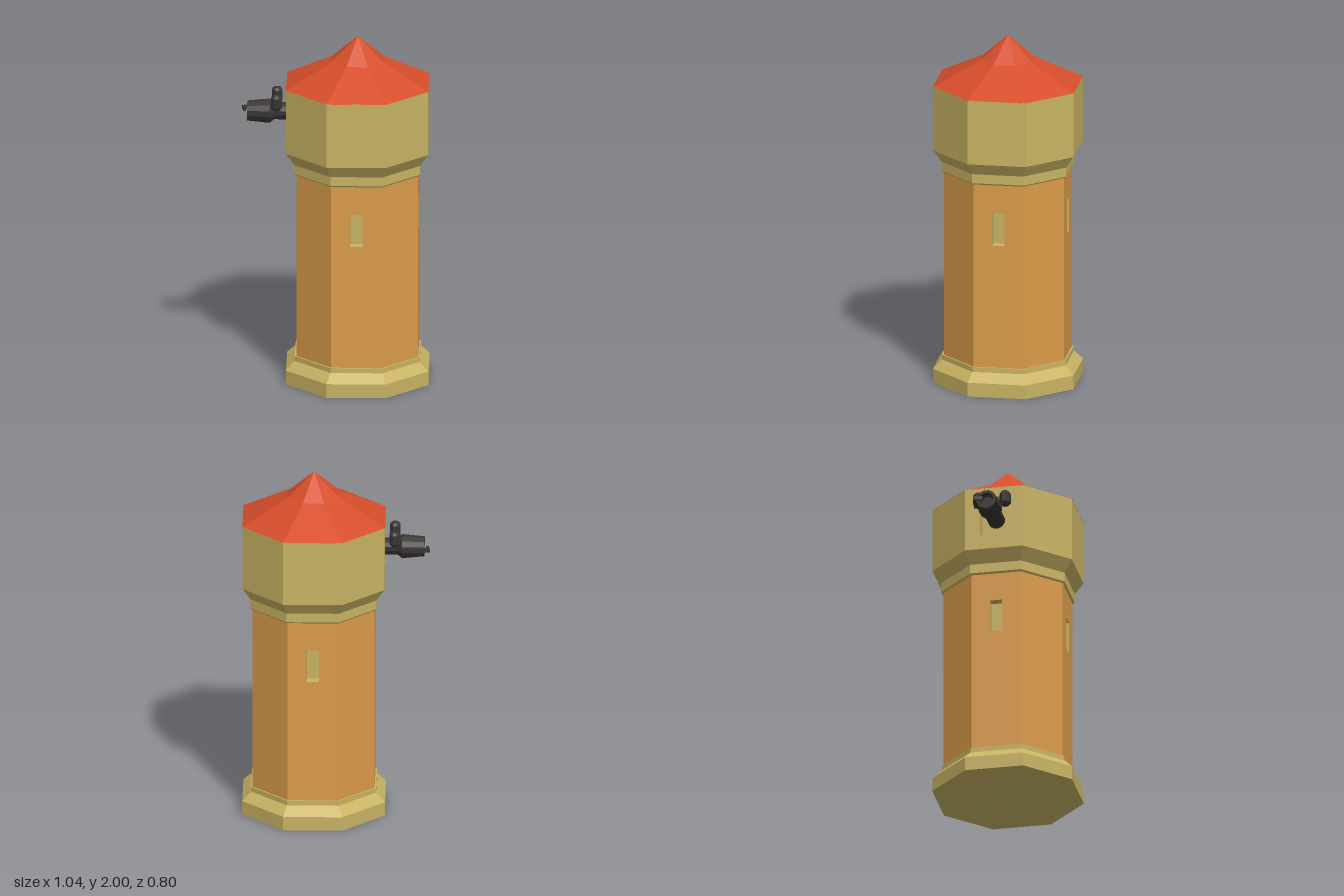
import * as THREE from 'three';

const SIDES = 8;
const STEP = Math.PI / 4;
const stone = new THREE.MeshStandardMaterial({ color: 0xc9b464, flatShading: true });
const brick = new THREE.MeshStandardMaterial({ color: 0xdc9c4a, flatShading: true });
const tile = new THREE.MeshStandardMaterial({ color: 0xd64e2b, flatShading: true });
const iron = new THREE.MeshStandardMaterial({ color: 0x3a3434, flatShading: true });

function add(parent, name, geometry, material) {
  const mesh = new THREE.Mesh(geometry, material);
  mesh.name = name;
  parent.add(mesh);
  return mesh;
}

// Turned solid from [radius, height] pairs, listed from bottom to top
function turned(points, sides = SIDES) {
  const profile = points.map(([r, y]) => new THREE.Vector2(r, y));
  return new THREE.LatheGeometry(profile, sides, Math.PI / sides);
}

// Octagonal solid whose radii are measured to the middle of the flat sides
function octagon(points) {
  return turned(points.map(([a, y]) => [a / Math.cos(STEP / 2), y]));
}

// Box lining seen from inside, open towards +z
function recess(width, height, depth) {
  const geometry = new THREE.BoxGeometry(width, height, depth);
  const index = Array.from(geometry.index.array);
  index.splice(24, 6);
  geometry.setIndex(index);
  geometry.scale(-1, 1, 1);
  geometry.computeVertexNormals();
  return geometry;
}

// Ring of eight wall panels; the sides listed in "open" get a lined opening
function wallRing(name, apothem, y0, y1, material, open, hole) {
  const ring = new THREE.Group();
  ring.name = name;
  const half = apothem * Math.tan(STEP / 2);
  for (let k = 0; k < SIDES; k++) {
    const side = new THREE.Group();
    side.name = name + 'Side';
    side.rotation.y = k * STEP;
    const shape = new THREE.Shape();
    shape.moveTo(-half, y0).lineTo(half, y0).lineTo(half, y1).lineTo(-half, y1).closePath();
    if (open.includes(k)) {
      const w = hole.width / 2;
      const path = new THREE.Path();
      path.moveTo(-w, hole.y0).lineTo(-w, hole.y1).lineTo(w, hole.y1).lineTo(w, hole.y0).closePath();
      shape.holes.push(path);
      const lining = add(side, hole.name, recess(hole.width, hole.y1 - hole.y0, hole.depth), stone);
      lining.position.set(0, (hole.y0 + hole.y1) / 2, apothem - hole.depth / 2);
    }
    add(side, 'wallPanel', new THREE.ShapeGeometry(shape), material).position.z = apothem;
    ring.add(side);
  }
  return ring;
}

// Gun pointing along -x, with its axis through the origin
function createGun() {
  const gun = new THREE.Group();
  gun.name = 'gun';

  // Neck, flared body and hollow muzzle
  const barrel = add(gun, 'barrel', turned([
    [0, 0.2], [0.048, 0.2], [0.048, 0.345], [0.068, 0.37], [0.056, 0.495],
    [0.04, 0.495], [0.034, 0.45], [0, 0.45],
  ], 12), iron);
  barrel.rotation.z = Math.PI / 2;

  // Upright canisters on both sides of the neck
  for (const s of [-1, 1]) {
    const canister = add(gun, 'canister', turned([
      [0, 0.03], [0.02, 0.03], [0.032, 0.045], [0.032, 0.1], [0.02, 0.115], [0, 0.115],
    ]), iron);
    canister.position.set(-0.33, 0, s * 0.075);
  }

  // Bent arm reaching round the muzzle
  const arm = new THREE.Shape();
  arm.moveTo(-0.408, 0.087).lineTo(-0.525, 0.067).lineTo(-0.517, 0.018).lineTo(-0.502, 0.02)
    .lineTo(-0.506, 0.052).lineTo(-0.408, 0.069).closePath();
  const armGeometry = new THREE.ExtrudeGeometry(arm, { depth: 0.02, bevelEnabled: false });
  armGeometry.translate(0, 0, -0.01);
  add(gun, 'muzzleArm', armGeometry, iron).rotation.x = -Math.PI / 2;
  return gun;
}

export function createModel() {
  const model = new THREE.Group();
  model.name = 'watchtower';
  const tower = new THREE.Group();
  tower.name = 'tower';
  tower.position.x = 0.122;
  model.add(tower);

  // Stepped plinth
  add(tower, 'plinth', octagon([
    [0, 0], [0.398, 0], [0.398, 0.08], [0.349, 0.13], [0.349, 0.158], [0.335, 0.158],
  ]), stone);

  // Shaft with a slit window on each main side
  tower.add(wallRing('shaft', 0.34, 0.15, 1.235, brick, [0, 2, 4, 6],
    { name: 'slitWindow', width: 0.07, y0: 0.87, y1: 1.06, depth: 0.05 }));

  // Flared collar under the head
  add(tower, 'collar', octagon([
    [0.335, 1.224], [0.345, 1.224], [0.351, 1.232], [0.351, 1.285], [0.397, 1.355],
  ]), stone);

  // Head with one gun port
  tower.add(wallRing('head', 0.397, 1.355, 1.728, stone, [6],
    { name: 'gunPort', width: 0.16, y0: 1.44, y1: 1.67, depth: 0.08 }));

  // Two-pitch roof
  add(tower, 'roof', octagon([[0, 1.727], [0.398, 1.727], [0.144, 1.863], [0, 2]]), tile);

  const gun = createGun();
  gun.position.y = 1.555;
  model.add(gun);
  return model;
}
